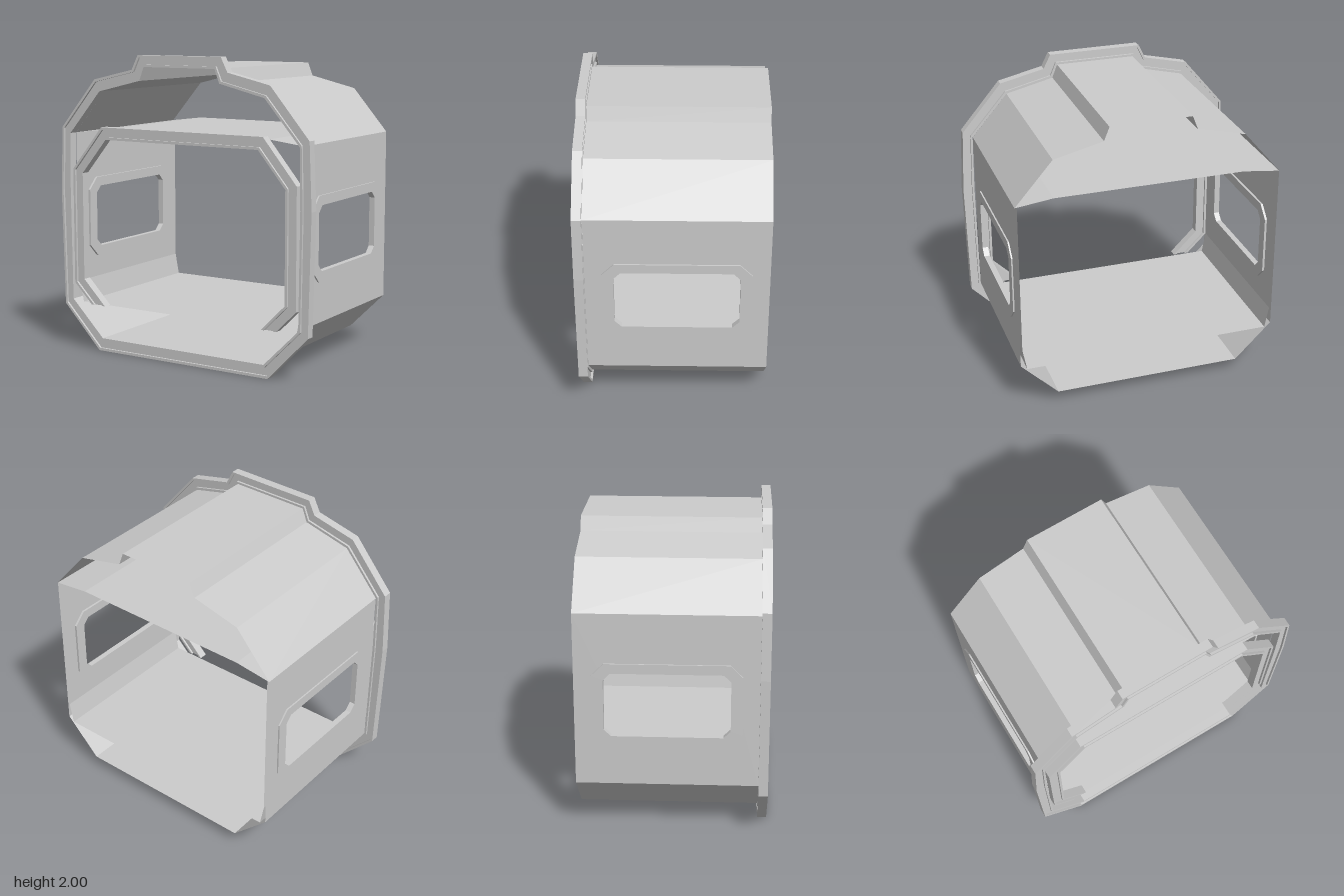
import * as THREE from 'three';

const grey = new THREE.MeshStandardMaterial({ color: 0xcccccc, flatShading: true, side: THREE.DoubleSide });

// Half profiles, from the bottom up on the +x side
const frameOuter = [[0.66, 0], [0.945, 0.295], [0.963, 1.08], [0.945, 1.51], [0.67, 1.835], [0.365, 1.905], [0.317, 2]];
const frameInner = [[0.63, 0.087], [0.877, 0.333], [0.885, 1.08], [0.878, 1.47], [0.63, 1.757], [0.305, 1.835], [0.27, 1.925]];
const linerOuter = [[0.72, 0.31], [0.86, 0.45], [0.86, 1.23], [0.62, 1.52]];
const linerInner = [[0.61, 0.31], [0.78, 0.48], [0.78, 1.205], [0.585, 1.438]];

const mirror = (half) => [...half, ...half.slice().reverse().map(([x, y]) => [-x, y])];

function named(name, geometry) {
  const mesh = new THREE.Mesh(geometry, grey);
  mesh.name = name;
  return mesh;
}

function fromPositions(positions) {
  const geometry = new THREE.BufferGeometry();
  geometry.setAttribute('position', new THREE.Float32BufferAttribute(positions, 3));
  geometry.computeVertexNormals();
  return geometry;
}

// Bar with a shallow groove on both faces, run between an outer and an inner outline
function groovedFrame(outerHalf, innerHalf, back, front, closed) {
  const outer = mirror(outerHalf), inner = mirror(innerHalf);
  const groove = 0.015, lip = 0.2;
  const face = [[0, front], [lip, front], [lip, front - groove], [1 - lip, front - groove], [1 - lip, front], [1, front]];
  const section = [...face, ...face.slice().reverse().map(([t, z]) => [t, back + front - z])];
  const n = outer.length, m = section.length;
  const point = (i, j) => {
    const o = outer[i % n], p = inner[i % n], [t, z] = section[j % m];
    return [o[0] + (p[0] - o[0]) * t, o[1] + (p[1] - o[1]) * t, z];
  };
  const positions = [];
  for (let i = 0; i < (closed ? n : n - 1); i++) {
    for (let j = 0; j < m; j++) {
      const a = point(i, j), b = point(i + 1, j), c = point(i + 1, j + 1), d = point(i, j + 1);
      positions.push(...a, ...b, ...c, ...a, ...c, ...d);
    }
  }
  if (!closed) {
    const caps = THREE.ShapeUtils.triangulateShape(section.map(([t, z]) => new THREE.Vector2(t, z)), []);
    for (const end of [0, n - 1]) {
      for (const tri of caps) for (const j of tri) positions.push(...point(end, j));
    }
  }
  return fromPositions(positions);
}

// Thin sheet following an outline in x and y, running from z0 to z1
function sheet(points, z0, z1) {
  const positions = [];
  for (let i = 0; i < points.length - 1; i++) {
    const [p, q] = [points[i], points[i + 1]];
    const a = [...p, z0], b = [...p, z1], c = [...q, z1], d = [...q, z0];
    positions.push(...a, ...b, ...c, ...a, ...c, ...d);
  }
  return fromPositions(positions);
}

// Rectangle with cut corners
const cutRect = (x0, x1, y0, y1, c) => [[x0 + c, y0], [x1 - c, y0], [x1, y0 + c], [x1, y1 - c],
  [x1 - c, y1], [x0 + c, y1], [x0, y1 - c], [x0, y0 + c]].map(([x, y]) => new THREE.Vector2(x, y));

export function createModel() {
  const model = new THREE.Group();
  model.name = 'cabinSection';
  const back = -0.61, shellFront = 0.55, front = 0.61;
  const sideX = 0.877, liningX = 0.863, roofY = 1.47, sillY = 0.333, kickY = 0.45;

  // Front frames
  model.add(named('frontFrame', groovedFrame(frameOuter, frameInner, shellFront, front, true)));
  model.add(named('innerDoorFrame', groovedFrame(linerOuter, linerInner, shellFront, front, false)));

  // Outer hull below and above the side walls
  const hullBottom = [[-sideX, sillY], [-0.63, 0.087], [0.63, 0.087], [sideX, sillY]];
  const hullTop = mirror([[sideX, roofY], ...frameInner.slice(4)]);
  model.add(named('hullBottom', sheet(hullBottom, shellFront, back)));
  model.add(named('roofPanel', sheet(hullTop, shellFront, back)));

  // Interior ceiling, and floor with slanted kick plates
  model.add(named('ceiling', sheet(mirror([[sideX, roofY], [0.63, 1.5]]), shellFront, back)));
  model.add(named('floor', sheet(mirror([[liningX, kickY], [0.835, 0.305]]), shellFront, back)));

  // Side walls: hull skin, inner lining, window surrounds and the reveal through the opening
  const opening = cutRect(-0.37, 0.425, 0.664, 1.084, 0.045);
  const withOpening = (points) => {
    const shape = new THREE.Shape(points);
    shape.holes.push(new THREE.Path(opening));
    return shape;
  };
  const wall = (y0) => new THREE.ShapeGeometry(withOpening(cutRect(-shellFront, -back, y0, roofY, 0)));
  const surround = (depth) => new THREE.ExtrudeGeometry(withOpening(cutRect(-0.445, 0.5, 0.6, 1.147, 0.08)),
    { depth, bevelEnabled: false });
  const loop = [...opening, opening[0]].map((p) => [p.x, p.y]);

  for (const side of [1, -1]) {
    const label = side > 0 ? 'left' : 'right';
    // Places a part drawn in the wall plane so that it spans from x0 to x1 on this side
    const place = (name, geometry, x0, x1) => {
      geometry.rotateY(Math.PI / 2).translate(side > 0 ? x0 : -x1, 0, 0);
      model.add(named(label + name, geometry));
    };
    place('Wall', wall(sillY), sideX, sideX);
    place('WallLining', wall(kickY), liningX, liningX);
    place('WindowSurround', surround(0.01), sideX, sideX + 0.01);
    place('InnerWindowSurround', surround(0.015), liningX - 0.015, liningX);
    place('WindowReveal', sheet(loop, 0, sideX - liningX), liningX, sideX);
  }
  return model;
}
